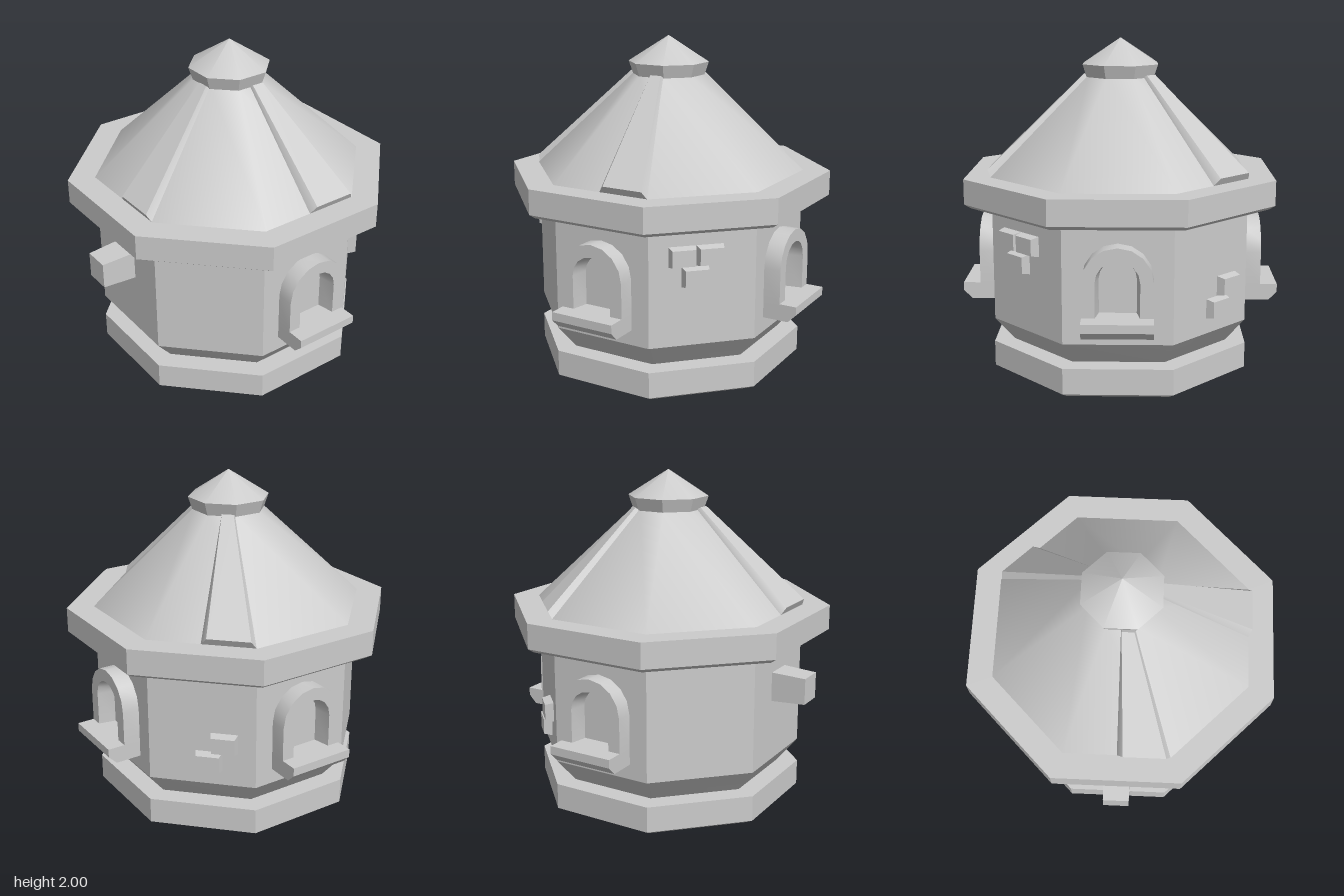
import * as THREE from 'three';
import { toCreasedNormals } from 'three/addons/utils/BufferGeometryUtils.js';

const material = new THREE.MeshStandardMaterial({ color: 0xcccccc });
const CREASE = 0.65;

function add(parent, name, geometry) {
  const mesh = new THREE.Mesh(toCreasedNormals(geometry, CREASE), material);
  mesh.name = name;
  parent.add(mesh);
  return mesh;
}

// Eight-sided solid from [apothem, y] pairs, bottom to top, flats facing the axes
function octagon(profile) {
  const points = profile.map(([a, y]) => new THREE.Vector2(a / Math.cos(Math.PI / 8), y));
  return new THREE.LatheGeometry(points, 8, Math.PI / 8);
}

// Box standing on z = 0 whose outer face is smaller by an inset on every side
function taperedBlock(w, h, d, inset) {
  const geometry = new THREE.BoxGeometry(w, h, d).translate(0, 0, d / 2);
  const p = geometry.attributes.position;
  for (let i = 0; i < p.count; i++) {
    if (p.getZ(i) > d / 2) {
      p.setXY(i, Math.sign(p.getX(i)) * (w / 2 - inset), Math.sign(p.getY(i)) * (h / 2 - inset));
    }
  }
  return geometry;
}

// Arched surround: outer side, front face and sloped inner reveal
function archFrame() {
  const rings = [[0.2, 0.74], [0.2, 0.857], [0.125, 0.857], [0.105, 0.75]];
  const segments = 8, centreY = 0.72, footY = 0.5;
  const count = segments + 3;
  const positions = [], index = [];
  rings.forEach(([r, z], k) => {
    positions.push(r, footY, z);
    for (let s = 0; s <= segments; s++) {
      const a = (Math.PI * s) / segments;
      positions.push(r * Math.cos(a), centreY + r * Math.sin(a), z);
    }
    positions.push(-r, footY, z);
    if (k === rings.length - 1) return;
    for (let i = 0; i < count - 1; i++) {
      const a = k * count + i, b = a + 1, c = b + count, d = a + count;
      index.push(a, b, c, a, c, d);
    }
  });
  const geometry = new THREE.BufferGeometry();
  geometry.setAttribute('position', new THREE.Float32BufferAttribute(positions, 3));
  geometry.setIndex(index);
  return geometry;
}

// Window ledge with a chamfered lower front edge
function sill() {
  const shape = new THREE.Shape(
    [[0.72, 0.42], [0.91, 0.42], [0.96, 0.47], [0.96, 0.52], [0.72, 0.52]]
      .map(([x, y]) => new THREE.Vector2(x, y)));
  return new THREE.ExtrudeGeometry(shape, { depth: 0.4, bevelEnabled: false })
    .rotateY(-Math.PI / 2).translate(0.2, 0, 0);
}

// Tapering roof plank: a box with its corners moved onto the roof slope
function roofPlank() {
  const corners = {
    '-1,-1,-1': [0, 1.2, 0.76], '1,-1,-1': [0.31, 1.2, 0.76],
    '-1,1,-1': [0, 1.77, 0.19], '1,1,-1': [0.08, 1.77, 0.19],
    '-1,-1,1': [0.035, 1.24, 0.78], '1,-1,1': [0.285, 1.24, 0.78],
    '-1,1,1': [0.005, 1.785, 0.22], '1,1,1': [0.075, 1.785, 0.22],
  };
  const geometry = new THREE.BoxGeometry(2, 2, 2);
  const p = geometry.attributes.position;
  for (let i = 0; i < p.count; i++) {
    p.setXYZ(i, ...corners[[p.getX(i), p.getY(i), p.getZ(i)].join(',')]);
  }
  return geometry;
}

export function createModel() {
  const model = new THREE.Group();
  model.name = 'octagonalHut';

  // Stacked octagonal body
  add(model, 'baseSlab', octagon([[0, 0], [0.71, 0], [0.76, 0.03], [0.76, 0.185], [0, 0.185]]));
  add(model, 'walls', octagon([[0.64, 0.18], [0.755, 0.33], [0.755, 1.04]]));
  add(model, 'eave', octagon([[0.74, 1.025], [0.875, 1.025], [0.91, 1.05], [0.91, 1.2], [0.7, 1.2]]));
  add(model, 'roof', octagon([[0.76, 1.2], [0.19, 1.78]]));
  add(model, 'roofCap', octagon([[0, 1.765], [0.2, 1.765], [0.225, 1.845], [0, 2]]));

  // Roof planks
  for (const degrees of [0, 90, 225]) {
    add(model, 'roofPlank', roofPlank()).rotation.y = THREE.MathUtils.degToRad(degrees);
  }

  // Arched windows on both sides and the back
  for (const [name, degrees] of [['leftWindow', 90], ['backWindow', 180], ['rightWindow', 270]]) {
    const window = new THREE.Group();
    window.name = name;
    window.rotation.y = THREE.MathUtils.degToRad(degrees);
    add(window, 'windowFrame', archFrame());
    add(window, 'windowSill', sill());
    model.add(window);
  }

  // Square beam end on the front wall
  add(model, 'frontBeam', taperedBlock(0.175, 0.175, 0.215, 0.01)).position.set(0, 0.787, 0.745);

  // Raised bricks on the two rear diagonal walls, as [x, y] centres
  const brickWalls = [
    ['backLeftBricks', 135, [[-0.12, 0.86], [0.04, 0.86], [-0.045, 0.74]]],
    ['backRightBricks', 225, [[0.13, 0.6], [0.04, 0.48]]],
  ];
  for (const [name, degrees, centres] of brickWalls) {
    const bricks = new THREE.Group();
    bricks.name = name;
    bricks.rotation.y = THREE.MathUtils.degToRad(degrees);
    for (const [x, y] of centres) {
      add(bricks, 'brick', taperedBlock(0.16, 0.12, 0.055, 0.012)).position.set(x, y, 0.75);
    }
    model.add(bricks);
  }
  return model;
}
